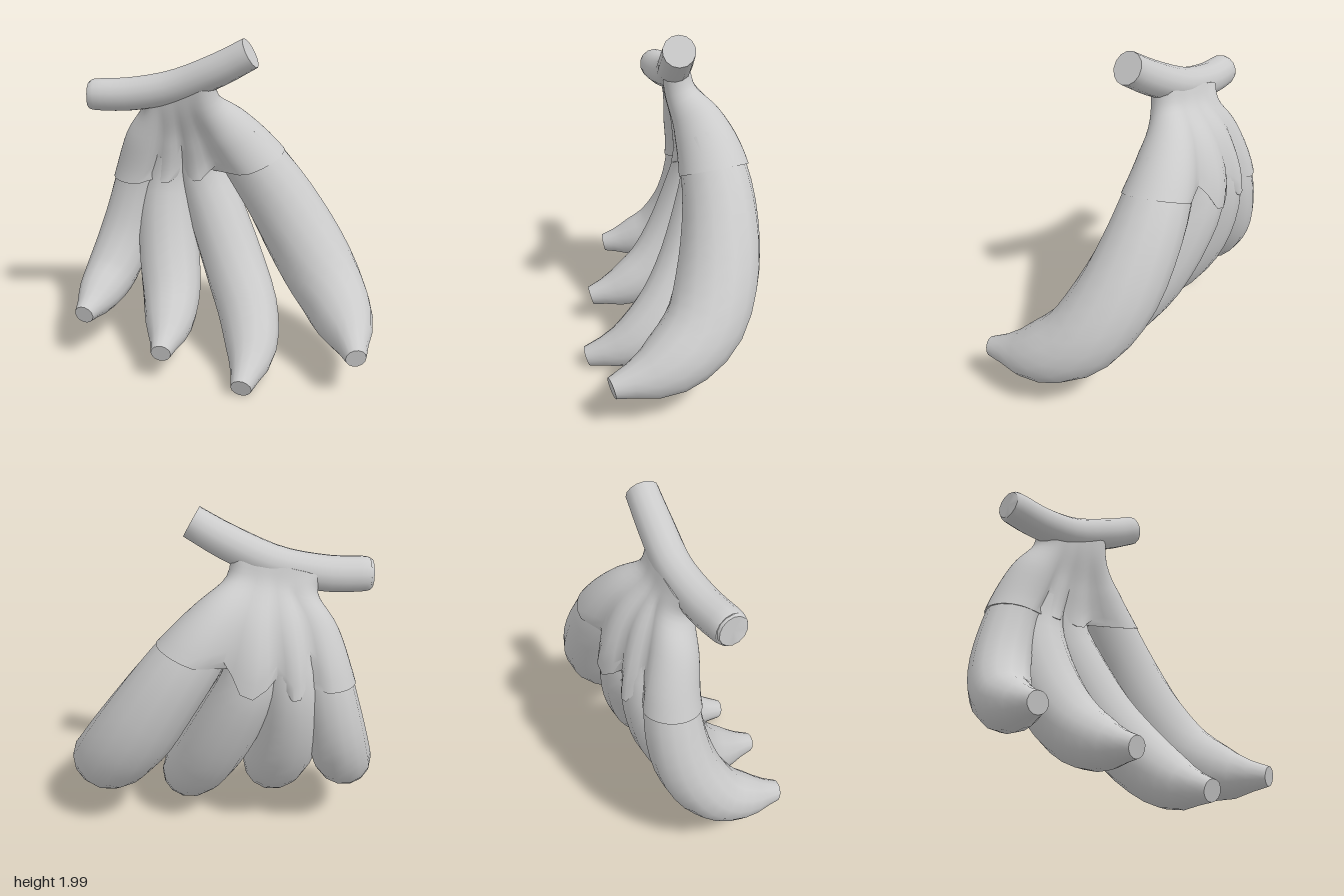
import * as THREE from 'three';
import { toCreasedNormals } from 'three/addons/utils/BufferGeometryUtils.js';

const ROW = new THREE.Vector3(0.68, 0, 0.73); // direction in which the fruits sit side by side
const UP = new THREE.Vector3(0, 1, 0);

// Skin a list of rings (arrays of Vector3) and close both ends
function loft(rings, crease = 0.8) {
  const n = rings[0].length, pos = [], idx = [];
  rings.flat().forEach(p => pos.push(p.x, p.y, p.z));
  for (let i = 0; i < rings.length - 1; i++) {
    for (let j = 0; j < n; j++) {
      const k = (j + 1) % n;
      const a = i * n + j, b = i * n + k, c = (i + 1) * n + k, d = (i + 1) * n + j;
      idx.push(a, b, c, a, c, d);
    }
  }
  [0, rings.length - 1].forEach(i => {
    const mid = new THREE.Vector3();
    rings[i].forEach(p => mid.addScaledVector(p, 1 / n));
    const m = pos.length / 3;
    pos.push(mid.x, mid.y, mid.z);
    for (let j = 0; j < n; j++) {
      const a = i * n + j, b = i * n + (j + 1) % n;
      if (i === 0) idx.push(m, b, a); else idx.push(m, a, b);
    }
  });
  const g = new THREE.BufferGeometry();
  g.setAttribute('position', new THREE.Float32BufferAttribute(pos, 3));
  g.setIndex(idx);
  return toCreasedNormals(g, crease);
}

// Rings from a function of (0..1 along, angle around)
const makeRings = (count, sides, fn) => Array.from({ length: count + 1 }, (_, i) =>
  Array.from({ length: sides }, (_, j) => fn(i / count, j / sides * Math.PI * 2)));

const smoothPath = points => new THREE.CatmullRomCurve3(points, false, 'catmullrom', 0.5);

// Axis and radius curves through [x, y, z, radius] points
const makeLimb = points => ({
  path: smoothPath(points.map(([x, y, z]) => new THREE.Vector3(x, y, z))),
  radius: new THREE.SplineCurve(points.map((p, i) => new THREE.Vector2(i, p[3]))),
});

// Point on the round surface of a limb
function limbPoint({ path, radius }, ref, u, angle) {
  const t = path.getTangent(u);
  const side = ref.clone().addScaledVector(t, -ref.dot(t)).normalize();
  const out = t.clone().cross(side);
  const r = radius.getPoint(u).y;
  return path.getPoint(u).addScaledVector(side, r * Math.cos(angle)).addScaledVector(out, r * Math.sin(angle));
}

// Each fruit axis from inside the stalk to the tip: x, y, z, radius
const FRUITS = [
  [[0.0, 1.76, -0.22, 0.07], [0.04, 1.6, -0.23, 0.085], [0.18, 1.44, -0.2, 0.145], [0.31, 1.25, -0.13, 0.188],
    [0.43, 1.01, -0.01, 0.215], [0.515, 0.73, 0.155, 0.233], [0.535, 0.49, 0.36, 0.222], [0.445, 0.345, 0.61, 0.172], [0.27, 0.285, 0.86, 0.06]],
  [[-0.06, 1.72, -0.31, 0.07], [-0.02, 1.58, -0.33, 0.085], [0.08, 1.38, -0.38, 0.135], [0.14, 1.13, -0.4, 0.163],
    [0.17, 0.85, -0.28, 0.185], [0.17, 0.56, -0.11, 0.194], [0.125, 0.33, 0.08, 0.188], [0, 0.16, 0.26, 0.152], [-0.22, 0.068, 0.43, 0.062]],
  [[-0.12, 1.69, -0.4, 0.07], [-0.08, 1.57, -0.41, 0.085], [-0.03, 1.38, -0.49, 0.13], [-0.015, 1.11, -0.55, 0.162],
    [-0.055, 0.85, -0.52, 0.187], [-0.11, 0.6, -0.43, 0.195], [-0.19, 0.4, -0.3, 0.183], [-0.32, 0.275, -0.15, 0.145], [-0.495, 0.21, 0.015, 0.06]],
  [[-0.19, 1.66, -0.49, 0.07], [-0.14, 1.56, -0.49, 0.085], [-0.15, 1.38, -0.58, 0.12], [-0.155, 1.12, -0.67, 0.147],
    [-0.2, 0.86, -0.71, 0.166], [-0.28, 0.65, -0.71, 0.173], [-0.405, 0.48, -0.67, 0.165], [-0.56, 0.39, -0.585, 0.132], [-0.73, 0.345, -0.47, 0.06]],
].map(makeLimb);

const STEM = makeLimb([
  [-0.465, 1.643, -0.715, 0.08], [-0.435, 1.643, -0.685, 0.096], [-0.28, 1.65, -0.54, 0.1],
  [-0.1, 1.7, -0.35, 0.1], [0.05, 1.805, -0.14, 0.098], [0.17, 1.915, 0.025, 0.092],
]);

// Point on the crown: one lobed skin round all the fruit tops, scalloped at its lower edge
function crownPoint(s, angle) {
  const reach = 0.3; // share of the half outline taken by each rounded end
  const q = Math.cos(angle) * (0.5 + reach) + 0.5;
  const w = THREE.MathUtils.clamp(q, 0, 1);
  const beyond = (q - w) / reach;
  const crease = Math.abs(Math.sin(3 * Math.PI * w)) ** 3;
  const u = s * (0.392 - 0.042 * crease);
  const spine = smoothPath(FRUITS.map(f => f.path.getPoint(u)));
  const lower = smoothPath(FRUITS.map(f => f.path.getPoint(u + 0.01)));
  const radii = new THREE.SplineCurve(FRUITS.map((f, i) => new THREE.Vector2(i, f.radius.getPoint(u).y)));
  const centre = spine.getPoint(w);
  const along = spine.getTangent(w);
  const out = lower.getPoint(w).sub(centre).cross(along).normalize();
  const r = radii.getPoint(w).y + 0.012;
  const thick = r * (1 - 0.3 * s * s * crease) * Math.sqrt(Math.max(0, 1 - beyond * beyond));
  return centre.addScaledVector(along, r * beyond).addScaledVector(out, thick * Math.sign(Math.sin(angle)));
}

export function createModel() {
  const group = new THREE.Group();
  const material = new THREE.MeshStandardMaterial({ color: 0xcccccc });
  const add = (name, geometry) => {
    const mesh = new THREE.Mesh(geometry, material);
    mesh.name = name;
    group.add(mesh);
  };

  // Curved fruits with blunt tips
  FRUITS.forEach((fruit, i) => add(`banana${i + 1}`,
    loft(makeRings(16, 14, (s, a) => limbPoint(fruit, ROW, 0.3 + 0.7 * s, a)))));

  // Shared crown from the neck down over the fruit tops
  add('crown', loft(makeRings(14, 72, crownPoint), 1.0));

  // Cut length of stalk across the top
  add('stem', loft(makeRings(16, 14, (s, a) => limbPoint(STEM, UP, s, a))));
  return group;
}
